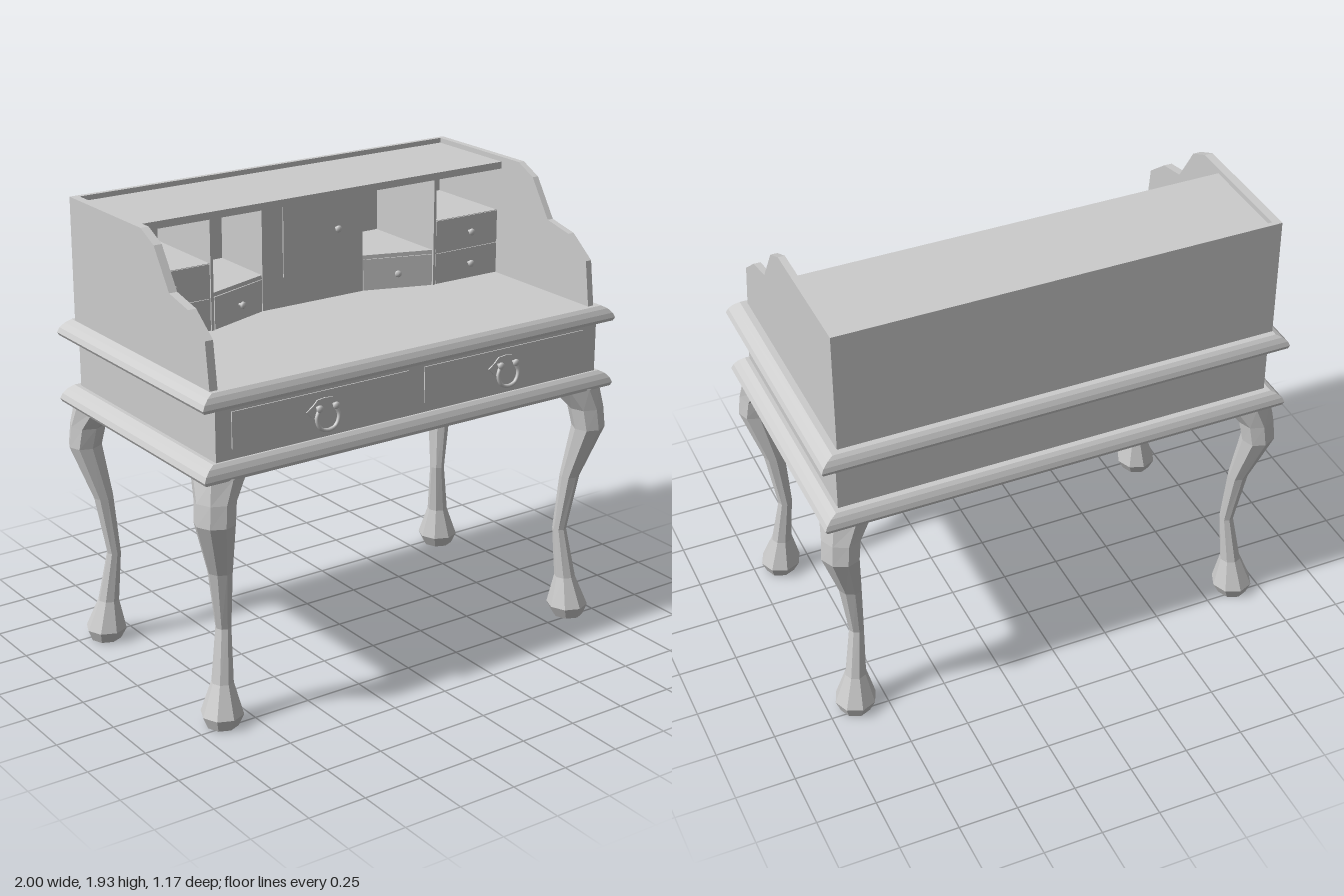
import * as THREE from 'three';

const grey = new THREE.MeshStandardMaterial({ color: 0xcccccc, side: THREE.DoubleSide });
const faceted = new THREE.MeshStandardMaterial({ color: 0xcccccc, flatShading: true });

function add(parent, name, geometry, material = grey) {
  const mesh = new THREE.Mesh(geometry, material);
  mesh.name = name;
  parent.add(mesh);
  return mesh;
}

// Box given by its limits on each axis
function block(parent, name, [x0, x1], [y0, y1], [z0, z1]) {
  const mesh = add(parent, name, new THREE.BoxGeometry(Math.abs(x1 - x0), y1 - y0, z1 - z0));
  mesh.position.set((x0 + x1) / 2, (y0 + y1) / 2, (z0 + z1) / 2);
  return mesh;
}

// Closed skin over rings of points, bottom to top, counter-clockwise from above
function loft(rings) {
  const n = rings[0].length, index = [];
  for (let i = 0; i < rings.length - 1; i++) {
    for (let j = 0; j < n; j++) {
      const a = i * n + j, b = i * n + (j + 1) % n;
      index.push(a, b, b + n, a, b + n, a + n);
    }
  }
  const top = (rings.length - 1) * n;
  for (let j = 1; j < n - 1; j++) index.push(0, j + 1, j, top, top + j, top + j + 1);
  const geometry = new THREE.BufferGeometry().setFromPoints(rings.flat());
  geometry.setIndex(index);
  const flat = geometry.toNonIndexed();
  flat.computeVertexNormals();
  return flat;
}

// Cabriole leg: height, centre offset, radius along and across the diagonal
const LEG = [
  [0, 0.885, 0.065, 0.065], [0.05, 0.882, 0.088, 0.088], [0.18, 0.872, 0.045, 0.045],
  [0.4, 0.85, 0.03, 0.032], [0.65, 0.875, 0.042, 0.05], [0.88, 0.924, 0.07, 0.082],
  [0.97, 0.913, 0.076, 0.084], [1.065, 0.87, 0.115, 0.11],
];
function legGeometry(sx, sz) {
  const dx = sx * Math.SQRT1_2, dz = sz * Math.SQRT1_2;
  return loft(LEG.map(([y, c, a, b]) => Array.from({ length: 8 }, (_, k) => {
    const u = a * Math.cos(k * Math.PI / 4), v = b * Math.sin(k * Math.PI / 4);
    return new THREE.Vector3(sx * c + dx * u + dz * v, y, sz * (c - 0.415) + dz * u - dx * v);
  })));
}

// Rounded moulding running round the case
function mouldingGeometry(y0, y1) {
  const profile = [[0, 0.008], [0.2, 0], [0.5, 0.01], [0.8, 0.03], [1, 0.055]];
  return loft(profile.map(([t, inset]) => {
    const x = 0.997 - inset, y = y0 + (y1 - y0) * t;
    const front = 0.566 - inset * 0.5, back = -0.573 + inset * 0.5;
    return [[x, front], [x, back], [-x, back], [-x, front]].map(([px, pz]) => new THREE.Vector3(px, y, pz));
  }));
}

const knobGeometry = new THREE.LatheGeometry(
  [[0.006, 0], [0.006, 0.012], [0.014, 0.016], [0.015, 0.023], [0.01, 0.029], [0, 0.03]]
    .map(([r, h]) => new THREE.Vector2(r, h)), 10).rotateX(Math.PI / 2);
function knob(parent, x, y, z, turn = 0) {
  const mesh = add(parent, 'knob', knobGeometry);
  mesh.position.set(x, y, z);
  mesh.rotation.y = turn;
}

// Shaped backplate with two posts and a hanging bail
function drawerPull(parent, x) {
  const pull = new THREE.Group();
  pull.name = 'drawerPull';
  pull.position.set(x, 1.245, 0.535);
  const half = [[0, 0.048], [0.035, 0.044], [0.055, 0.024], [0.085, 0.003], [0.058, -0.026], [0.03, -0.046]];
  const outline = [...half, ...half.slice(1).reverse().map(([px, py]) => [-px, py])];
  add(pull, 'backplate', new THREE.ExtrudeGeometry(
    new THREE.Shape(outline.map(([px, py]) => new THREE.Vector2(px, py))), { depth: 0.006, bevelEnabled: false }));
  for (const s of [-1, 1]) knob(pull, s * 0.038, 0.015, 0.005);
  const path = new THREE.CatmullRomCurve3([
    [-0.036, 0.012, 0.02], [-0.052, -0.025, 0.024], [-0.035, -0.065, 0.026], [0, -0.077, 0.027],
    [0.035, -0.065, 0.026], [0.052, -0.025, 0.024], [0.036, 0.012, 0.02],
  ].map((p) => new THREE.Vector3(...p)));
  add(pull, 'bail', new THREE.TubeGeometry(path, 20, 0.008, 6));
  parent.add(pull);
}

function sidePanelGeometry(thickness) {
  const profile = [[-0.52, 1.41], [0.52, 1.41], [0.495, 1.6], [0.38, 1.69], [0.245, 1.72],
    [0.14, 1.88], [0.045, 1.926], [-0.52, 1.926]];
  const shape = new THREE.Shape(profile.map(([z, y]) => new THREE.Vector2(z, y)));
  return new THREE.ExtrudeGeometry(shape, { depth: thickness, bevelEnabled: false }).rotateY(-Math.PI / 2);
}

export function createModel() {
  const desk = new THREE.Group();
  desk.name = 'writingDesk';

  // Legs
  for (const sx of [-1, 1]) {
    for (const sz of [-1, 1]) {
      add(desk, `${sz > 0 ? 'front' : 'back'}${sx > 0 ? 'Left' : 'Right'}Leg`, legGeometry(sx, sz), faceted);
    }
  }

  // Case with two wide drawers between mouldings
  add(desk, 'lowerMoulding', mouldingGeometry(1.06, 1.13), faceted);
  block(desk, 'case', [-0.925, 0.925], [1.12, 1.36], [-0.52, 0.53]);
  add(desk, 'writingTop', mouldingGeometry(1.345, 1.412), faceted);
  for (const s of [-1, 1]) {
    block(desk, 'wideDrawer', [s * 0.038, s * 0.855], [1.17, 1.32], [0.5, 0.535]);
    drawerPull(desk, s * 0.44);
  }

  // Hutch shell
  const hutch = new THREE.Group();
  hutch.name = 'hutch';
  desk.add(hutch);
  add(hutch, 'leftSidePanel', sidePanelGeometry(0.028)).position.x = 0.915;
  add(hutch, 'rightSidePanel', sidePanelGeometry(0.035)).position.x = -0.905;
  block(hutch, 'backPanel', [-0.93, 0.905], [1.41, 1.926], [-0.52, -0.5]);
  block(hutch, 'topShelf', [-0.905, 0.887], [1.875, 1.905], [-0.5, -0.07]);

  // Centre cupboard, set back from the outer drawers
  block(hutch, 'cupboard', [-0.25, 0.25], [1.41, 1.875], [-0.5, -0.19]);
  block(hutch, 'cupboardDoor', [-0.15, 0.15], [1.54, 1.868], [-0.2, -0.184]);
  knob(hutch, 0.11, 1.71, -0.184);

  const tilt = Math.atan2(0.1, 0.295);
  for (const s of [-1, 1]) {
    // Outer pair of small drawers under an open pigeonhole
    block(hutch, 'outerDrawerBox', [s * 0.55, s * 0.895], [1.41, 1.69], [-0.5, -0.095]);
    for (const [y0, y1] of [[1.413, 1.545], [1.552, 1.688]]) {
      block(hutch, 'outerDrawer', [s * 0.56, s * 0.886], [y0, y1], [-0.11, -0.09]);
      knob(hutch, s * 0.735, y0 + 0.068, -0.09);
    }
    block(hutch, 'divider', [s * 0.545, s * 0.557], [1.41, 1.875], [-0.5, -0.088]);

    // Angled drawer between divider and cupboard
    const plan = [[0.55, 0.095], [0.25, 0.195], [0.25, 0.5], [0.55, 0.5]]
      .map(([x, z]) => new THREE.Vector2(s * x, z));
    const wedge = new THREE.ExtrudeGeometry(new THREE.Shape(plan), { depth: 0.155, bevelEnabled: false });
    add(hutch, 'angledDrawerBox', wedge.rotateX(-Math.PI / 2)).position.y = 1.41;
    const front = add(hutch, 'angledDrawer', new THREE.BoxGeometry(0.3, 0.135, 0.012));
    front.position.set(s * 0.398, 1.48, -0.146);
    front.rotation.y = -s * tilt;
    knob(hutch, s * 0.393, 1.48, -0.142, -s * tilt);
  }
  return desk;
}
